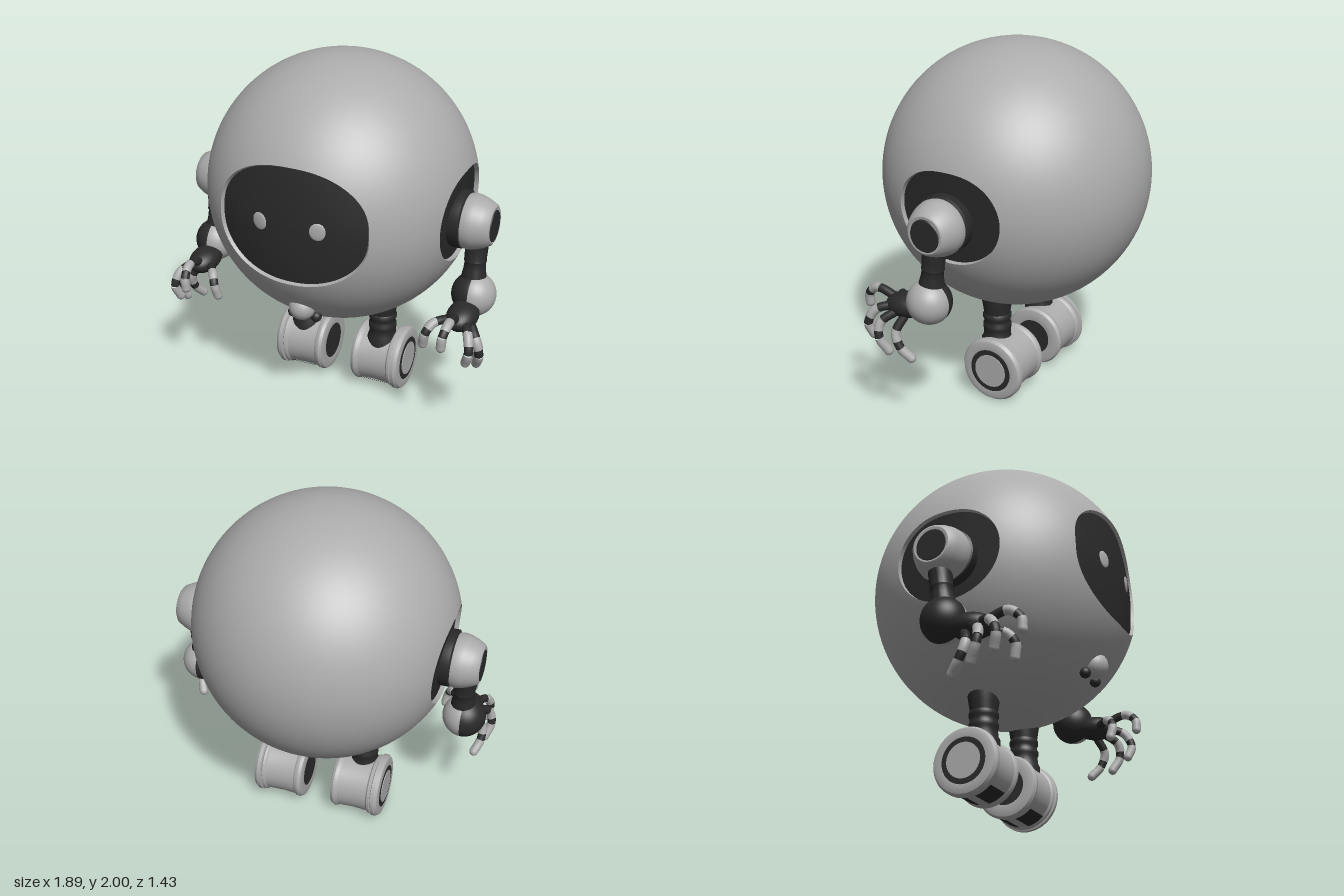
import * as THREE from 'three';
import { toCreasedNormals } from 'three/addons/utils/BufferGeometryUtils.js';

const light = new THREE.MeshStandardMaterial({ color: 0xacacac });
light.name = 'light grey shell';
const dark = new THREE.MeshStandardMaterial({ color: 0x2a2a2a });
dark.name = 'dark rubber';

const R = 0.745, CY = 1.255, CZ = 0.03;                // body sphere
const FACE = { w: 0.42, mid: 0.033, half: 0.447, n: 2.6 }; // face opening, angles about x

function add(parent, name, geometry, material, x = 0, y = 0, z = 0) {
  const mesh = new THREE.Mesh(geometry, material);
  mesh.name = name;
  mesh.position.set(x, y, z);
  parent.add(mesh);
  return mesh;
}

// Skin between rows of points
function loft(rows, spherical = false) {
  const n = rows[0].length, index = [];
  for (let i = 0; i < rows.length - 1; i++) {
    for (let j = 0; j < n; j++) {
      const k = (j + 1) % n;
      const a = i * n + j, b = i * n + k, c = a + n, d = b + n;
      index.push(a, b, c, b, d, c);
    }
  }
  const geo = new THREE.BufferGeometry().setFromPoints(rows.flat());
  geo.setIndex(index);
  geo.computeVertexNormals();
  if (spherical) {
    const p = geo.attributes.position, v = new THREE.Vector3();
    for (let i = 0; i < p.count; i++) {
      v.fromBufferAttribute(p, i).normalize();
      geo.attributes.normal.setXYZ(i, v.x, v.y, v.z);
    }
  }
  return geo;
}

// Turned part; axis 0 stands upright, +1 / -1 points along x
function turned(parent, name, material, profile, x, y, z, axis = 0) {
  const pts = profile.map(([r, h]) => new THREE.Vector2(r, h));
  const mesh = add(parent, name, toCreasedNormals(new THREE.LatheGeometry(pts, 48), 0.6), material, x, y, z);
  mesh.rotation.z = -axis * Math.PI / 2;
  return mesh;
}

const faceHalfWidth = t => FACE.w * Math.pow(Math.max(0, 1 - Math.pow(Math.abs(t), FACE.n)), 1 / FACE.n);

// Half the shell, from the round shoulder opening to the middle line and face edge
function shellHalf(parent, s) {
  const phis = [];
  for (let k = 0; k <= 56; k++) phis.push(FACE.mid - FACE.half * Math.cos(Math.PI * k / 56));
  const start = FACE.mid + FACE.half, span = 2 * Math.PI - 2 * FACE.half;
  for (let k = 1; k < 80; k++) phis.push(start + span * k / 80);
  if (s < 0) phis.reverse();
  const hole = p => 0.3 - 0.045 * Math.sin(p) ** 2 - 0.05 * Math.sin(p);
  const point = (alpha, p) => new THREE.Vector3(
    s * R * Math.cos(alpha), R * Math.sin(alpha) * Math.sin(p), R * Math.sin(alpha) * Math.cos(p));
  const rows = [];
  for (let i = 0; i <= 30; i++) {
    rows.push(phis.map(p => {
      const t = (p - FACE.mid) / FACE.half;
      const a0 = Math.asin(hole(p) / R);
      const a1 = Math.acos((Math.abs(t) < 1 ? faceHalfWidth(t) : 0) / R);
      return point(a0 + (a1 - a0) * i / 30, p);
    }));
  }
  add(parent, 'bodyShell', loft(rows, true), light, 0, CY, CZ);
  // Recessed shoulder socket
  const deep = rows[0].map(v => new THREE.Vector3(v.x - s * 0.025, v.y * 0.985, v.z * 0.985));
  const centre = deep.map(() => new THREE.Vector3(s * 0.685, -0.05, 0));
  add(parent, 'socketRim', loft([deep, rows[0]]), light, 0, CY, CZ);
  add(parent, 'socketPlate', loft([centre, deep]), dark, 0, CY, CZ);
}

// Recessed screen with rim, eyes and the small nose below
function face(parent) {
  const loop = (u, r) => Array.from({ length: 112 }, (_, j) => {
    const a = 2 * Math.PI * j / 112, t = Math.cos(a);
    const x = Math.sign(Math.sin(a)) * faceHalfWidth(t) * u * r / R;
    const p = FACE.mid + FACE.half * t * u, q = Math.sqrt(r * r - x * x);
    return new THREE.Vector3(x, q * Math.sin(p), q * Math.cos(p));
  });
  const rows = [];
  for (let k = 0; k <= 14; k++) {
    const u = Math.max(k / 14, 0.002);
    rows.push(loop(u, R - 0.02 - 0.045 * (1 - u * u)));
  }
  add(parent, 'faceScreen', loft(rows), dark, 0, CY, CZ);
  add(parent, 'faceRim', loft([loop(1, R - 0.021), loop(1, R)]), light, 0, CY, CZ);
  for (const s of [1, -1]) {
    const eye = add(parent, 'eye', new THREE.SphereGeometry(1, 32, 16), light, s * 0.163, 1.28, 0.698);
    eye.scale.set(0.044, 0.048, 0.009);
    eye.rotation.y = s * 0.24;
    add(parent, 'noseFoot', new THREE.SphereGeometry(0.03, 20, 14), dark, s * 0.068, 0.685, 0.53);
  }
  add(parent, 'nose', new THREE.SphereGeometry(0.073, 32, 20), light, 0, 0.745, 0.558);
}

// Finger paths for the +x hand, from knuckle to tip
const FINGERS = {
  thumb: [[0.74, 0.70, 0.27], [0.67, 0.70, 0.36], [0.64, 0.65, 0.40], [0.625, 0.58, 0.39]],
  index: [[0.78, 0.73, 0.31], [0.78, 0.76, 0.43], [0.77, 0.71, 0.495], [0.765, 0.65, 0.50]],
  middle: [[0.82, 0.71, 0.29], [0.87, 0.68, 0.38], [0.89, 0.60, 0.42], [0.87, 0.53, 0.40]],
  ring: [[0.84, 0.69, 0.26], [0.90, 0.63, 0.33], [0.92, 0.55, 0.33], [0.895, 0.47, 0.29]],
  little: [[0.83, 0.67, 0.22], [0.88, 0.58, 0.25], [0.885, 0.50, 0.22], [0.86, 0.44, 0.17]],
};

function hand(parent, s) {
  const palm = add(parent, 'palm', new THREE.SphereGeometry(1, 32, 20), dark, s * 0.79, 0.71, 0.235);
  palm.scale.set(0.085, 0.068, 0.125);
  palm.rotation.x = 0.1;
  for (const [name, path] of Object.entries(FINGERS)) {
    const finger = new THREE.Group();
    finger.name = name + 'Finger';
    parent.add(finger);
    const curve = new THREE.CatmullRomCurve3(path.map(([x, y, z]) => new THREE.Vector3(s * x, y, z)));
    // Alternating dark joints and light segments
    const stops = [0, 0.28, 0.52, 0.68, 1];
    for (let i = 0; i < 4; i++) {
      const pts = [0, 1, 2, 3, 4].map(k => curve.getPoint(stops[i] + (stops[i + 1] - stops[i]) * k / 4));
      const r = i % 2 ? 0.026 : 0.024;
      add(finger, i % 2 ? 'fingerSegment' : 'fingerJoint',
        new THREE.TubeGeometry(new THREE.CatmullRomCurve3(pts), 8, r, 14), i % 2 ? light : dark);
    }
    add(finger, 'fingertip', new THREE.SphereGeometry(0.026, 14, 10), light, ...curve.getPoint(1).toArray());
  }
}

function arm(parent, s) {
  const g = new THREE.Group();
  g.name = s > 0 ? 'leftArm' : 'rightArm';
  parent.add(g);
  // Shoulder hub
  turned(g, 'shoulderRing', dark, [[0.15, -0.08], [0.158, -0.06], [0.158, -0.01], [0.14, 0]], s * 0.735, 1.18, 0.045, s);
  turned(g, 'shoulderHub', light, [[0.135, -0.01], [0.148, -0.005], [0.153, 0.02], [0.148, 0.055],
    [0.132, 0.1], [0.112, 0.138], [0.1, 0.146], [0.085, 0.144]], s * 0.735, 1.175, 0.045, s);
  turned(g, 'shoulderCap', dark, [[0.088, 0], [0.084, 0.006], [0, 0.006]], s * 0.877, 1.17, 0.045, s);
  // Upper arm, leaning forward
  const upper = turned(g, 'upperArm', dark, [[0.07, -0.13], [0.068, -0.09], [0.06, -0.05], [0.057, -0.01],
    [0.062, 0], [0.059, 0.012], [0.062, 0.06], [0.064, 0.14]], s * 0.79, 0.96, 0.062);
  upper.rotation.x = -0.12;
  // Two-tone wrist ball, light on the +x half of both arms
  for (const [name, material, start] of [['wristBallLight', light, Math.PI / 2], ['wristBallDark', dark, -Math.PI / 2]]) {
    const half = new THREE.SphereGeometry(0.122, 24, 28, start, Math.PI);
    add(g, name, half, material, s * 0.798, 0.768, 0.085);
  }
  hand(g, s);
}

function leg(parent, s) {
  const g = new THREE.Group();
  g.name = s > 0 ? 'leftLeg' : 'rightLeg';
  parent.add(g);
  turned(g, 'shin', dark, [[0.088, 0.27], [0.088, 0.33], [0.078, 0.35], [0.075, 0.39], [0.08, 0.4], [0.08, 0.42],
    [0.074, 0.43], [0.074, 0.45], [0.08, 0.46], [0.08, 0.48], [0.074, 0.49], [0.08, 0.53], [0.088, 0.58],
    [0.09, 0.62]], s * 0.242, 0, 0.018);
  // Drum foot lying along x
  const x = s * 0.237, y = 0.187, z = -0.022;
  turned(g, 'foot', light, [[0.105, -0.146], [0.14, -0.15], [0.168, -0.142], [0.178, -0.125], [0.176, -0.108],
    [0.168, -0.098], [0.164, -0.02], [0.168, 0.075], [0.178, 0.085], [0.18, 0.098], [0.173, 0.103], [0.187, 0.108],
    [0.187, 0.128], [0.175, 0.145], [0.15, 0.152], [0.12, 0.148]], x, y, z, s);
  turned(g, 'innerCap', dark, [[0, -0.146], [0.112, -0.146], [0.112, -0.14]], x, y, z, s);
  turned(g, 'outerRing', dark, [[0.126, 0.14], [0.126, 0.15], [0.09, 0.15]], x, y, z, s);
  turned(g, 'outerDisc', light, [[0.097, 0.14], [0.097, 0.154], [0, 0.154]], x, y, z, s);
  // Sole slots either side of a light bar
  for (const side of [1, -1]) {
    const slot = new THREE.CylinderGeometry(0.171, 0.171, 0.165, 16, 1, true, -0.3, 0.6);
    slot.rotateZ(Math.PI / 2);
    slot.rotateX(Math.PI / 2 - side * 0.46);
    add(g, 'soleSlot', slot, dark, x, y, z);
  }
}

export function createModel() {
  const model = new THREE.Group();
  model.name = 'roundRobot';
  face(model);
  for (const s of [1, -1]) {
    shellHalf(model, s);
    arm(model, s);
    leg(model, s);
  }
  return model;
}
